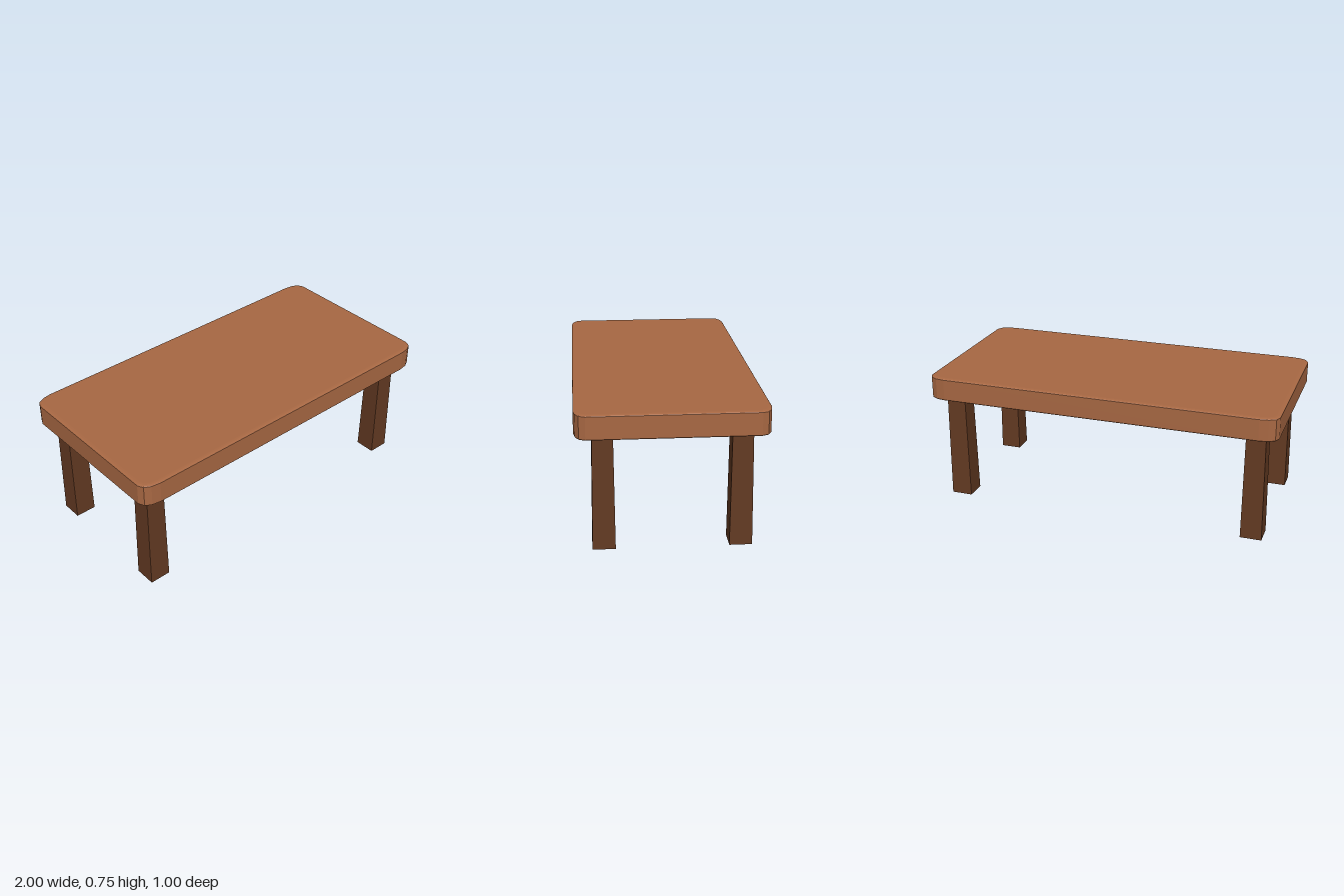
import * as THREE from 'three';

export function createModel() {
  const table = new THREE.Group();
  table.name = 'table';
  const topWood = new THREE.MeshStandardMaterial({ color: 0xa86843 });
  topWood.name = 'warm brown wood';
  const legWood = new THREE.MeshStandardMaterial({ color: 0x633a22 });
  legWood.name = 'dark brown wood';

  // Tabletop: rounded rectangle slab with a shallow bevel above and below
  const corner = [[1, 0.44], [0.985, 0.473], [0.95, 0.492], [0.9, 0.5]];
  const reversed = [...corner].reverse();
  const outline = [
    ...corner,
    ...reversed.map(([x, z]) => [-x, z]),
    ...corner.map(([x, z]) => [-x, -z]),
    ...reversed.map(([x, z]) => [x, -z]),
  ].map(([x, z]) => new THREE.Vector2(x, z));
  const bottomY = 0.62, topY = 0.753, bevel = 0.007;
  const slab = new THREE.ExtrudeGeometry(new THREE.Shape(outline), {
    depth: topY - bottomY - 2 * bevel,
    bevelEnabled: true,
    bevelThickness: bevel,
    bevelSize: 0.022,
    bevelOffset: -0.022,
    bevelSegments: 3,
  });
  slab.rotateX(-Math.PI / 2).translate(0, bottomY + bevel, 0);
  const tabletop = new THREE.Mesh(slab, topWood);
  tabletop.name = 'tabletop';
  table.add(tabletop);

  // Four square legs, slightly wider at the foot
  const legHeight = 0.622;
  const legShape = new THREE.CylinderGeometry(0.108 / Math.SQRT2, 0.12 / Math.SQRT2, legHeight, 4)
    .rotateY(Math.PI / 4)
    .toNonIndexed();
  legShape.computeVertexNormals();
  for (const sx of [1, -1]) {
    for (const sz of [1, -1]) {
      const leg = new THREE.Mesh(legShape, legWood);
      leg.name = (sz > 0 ? 'front' : 'back') + (sx > 0 ? 'Left' : 'Right') + 'Leg';
      leg.position.set(sx * 0.873, legHeight / 2, sz * 0.356);
      table.add(leg);
    }
  }
  return table;
}
